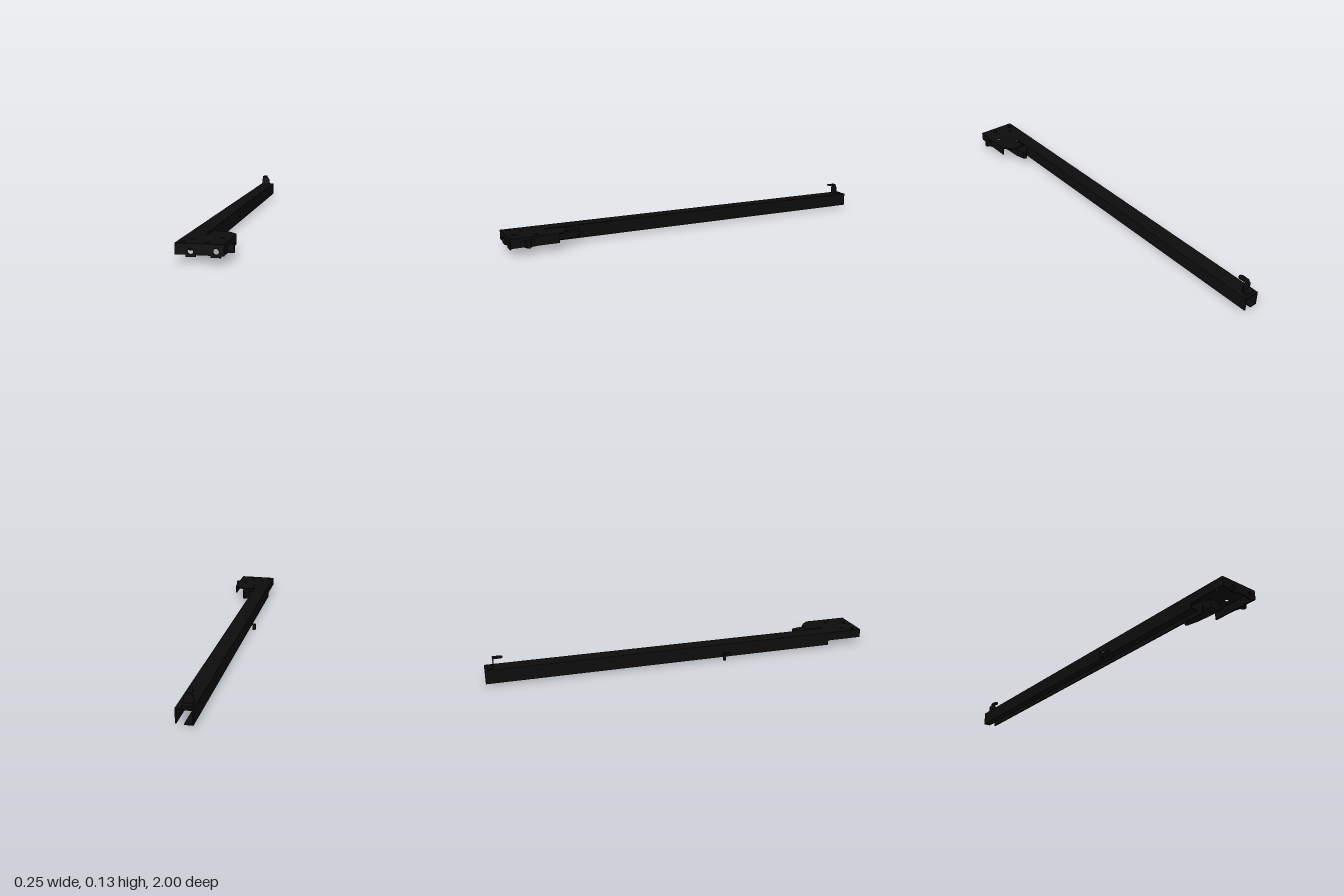
import * as THREE from 'three';

export function createModel() {
  const group = new THREE.Group();
  const black = new THREE.MeshStandardMaterial({ color: 0x0d0d0d });
  black.name = 'black';

  const add = (name, geometry) => {
    const mesh = new THREE.Mesh(geometry, black);
    mesh.name = name;
    group.add(mesh);
    return mesh;
  };

  // Box given by its limits on each axis
  const box = (name, x0, x1, y0, y1, z0, z1) =>
    add(name, new THREE.BoxGeometry(x1 - x0, y1 - y0, z1 - z0)
      .translate((x0 + x1) / 2, (y0 + y1) / 2, (z0 + z1) / 2));

  // Shape from corner points, with round holes [x, y, radius]
  const outline = (points, holes = []) => {
    const shape = new THREE.Shape(points.map(([x, y]) => new THREE.Vector2(x, y)));
    for (const [x, y, r] of holes) {
      shape.holes.push(new THREE.Path().absarc(x, y, r, 0, Math.PI * 2, true));
    }
    return shape;
  };
  const extrude = (shape, depth) =>
    new THREE.ExtrudeGeometry(shape, { depth, bevelEnabled: false, curveSegments: 12 });

  // Upright sheet drawn in x, y and starting at z
  const upright = (name, points, holes, z, depth) =>
    add(name, extrude(outline(points, holes), depth).translate(0, 0, z));

  // Flat sheet drawn in x, z and hanging down from its top height
  const flat = (name, points, holes, top, depth) =>
    add(name, extrude(outline(points, holes), depth).rotateX(Math.PI / 2).translate(0, top, 0));

  // Long channel rail, open along part of its underside
  upright('rail', [
    [-0.098, 0.01], [-0.06, 0.01], [-0.06, 0.016], [-0.092, 0.016], [-0.092, 0.074],
    [-0.028, 0.074], [-0.028, 0.013], [-0.022, 0.013], [-0.022, 0.08], [-0.098, 0.08],
  ], [], -1, 1.81);

  // Mounting bracket: top sheet with screw holes
  flat('bracketTop', [
    [-0.098, 0.81], [-0.01, 0.81], [-0.01, 0.72], [0.05, 0.72], [0.075, 0.74],
    [0.1, 0.77], [0.1, 0.995], [-0.09, 0.995], [-0.098, 0.98],
  ], [[-0.072, 0.965, 0.01], [-0.044, 0.915, 0.008], [0.028, 0.965, 0.01], [0.064, 0.872, 0.01]],
  0.08, 0.006);

  // Mounting bracket: front flange with two tabs and bolt holes
  upright('bracketFront', [
    [-0.098, 0.034], [-0.053, 0.034], [-0.053, 0.026], [-0.013, 0.026], [-0.013, 0.034],
    [0.048, 0.034], [0.048, 0.026], [0.089, 0.026], [0.089, 0.034],
    [0.102, 0.034], [0.102, 0.08], [-0.098, 0.08],
  ], [[-0.034, 0.049, 0.012], [0.069, 0.05, 0.012]], 0.993, 0.007);

  // Mounting bracket: side flanges
  box('bracketRightSide', -0.098, -0.092, 0.035, 0.08, 0.81, 0.993);
  box('bracketLeftSide', 0.095, 0.102, 0.035, 0.08, 0.77, 0.993);

  // Pointed arm beside the rail, below the top sheet
  flat('arm', [
    [-0.021, 0.735], [-0.021, 0.7], [0.01, 0.657], [0.022, 0.648], [0.033, 0.655],
    [0.046, 0.715], [0.052, 0.84], [-0.008, 0.84], [-0.008, 0.735],
  ], [], 0.074, 0.039);
  box('armBridge', -0.022, -0.008, 0.04, 0.07, 0.765, 0.775);

  // Lug on the outer side of the bracket
  flat('sideLug', [
    [0.1, 0.875], [0.108, 0.905], [0.126, 0.912], [0.126, 0.928], [0.108, 0.935], [0.1, 0.935],
  ], [], 0.068, 0.034);

  // Small angled clip on the side of the rail
  box('clipFoot', -0.106, -0.097, 0.023, 0.033, 0.205, 0.24);
  flat('clipArm', [[-0.127, 0.195], [-0.098, 0.208], [-0.098, 0.218], [-0.127, 0.205]], [], 0.033, 0.01);
  box('clipPin', -0.127, -0.112, 0, 0.033, 0.197, 0.208);

  // Bent catch at the back end: foot, upright and tongue
  box('catchFoot', -0.091, -0.045, 0.079, 0.086, -0.985, -0.955);
  upright('catchUpright', [
    [-0.091, 0.079], [-0.045, 0.079], [-0.045, 0.112], [-0.056, 0.127],
    [-0.056, 0.134], [-0.08, 0.134], [-0.08, 0.127], [-0.091, 0.112],
  ], [], -0.96, 0.006);
  flat('catchTongue', [
    [-0.081, -0.956], [-0.055, -0.956], [-0.055, -0.922], [-0.06, -0.913],
    [-0.068, -0.91], [-0.076, -0.913], [-0.081, -0.922],
  ], [], 0.134, 0.006);

  return group;
}
